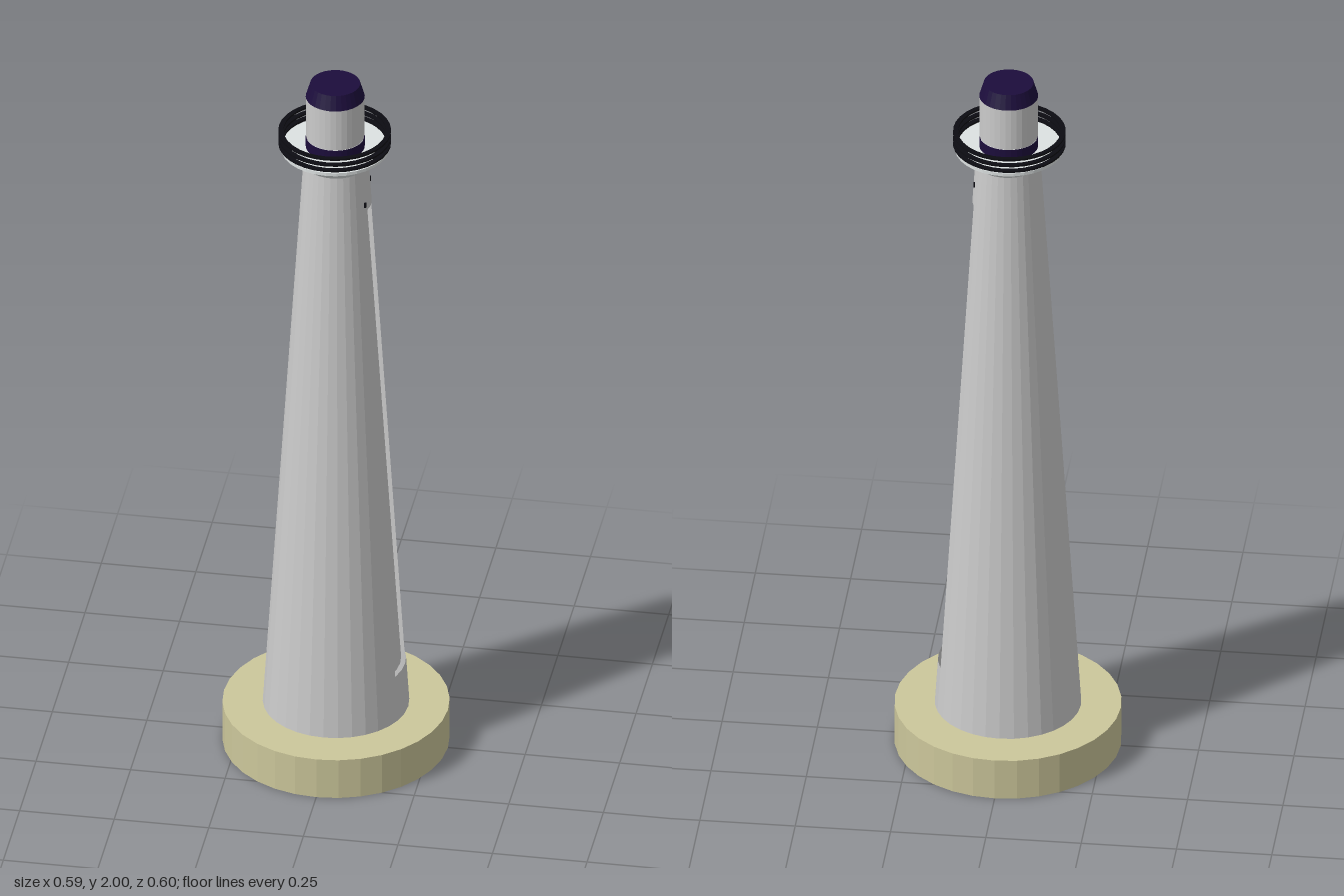
import * as THREE from 'three';

const SEG = 32;
const mat = (color) => new THREE.MeshStandardMaterial({ color, flatShading: true, side: THREE.DoubleSide });
const grey = mat(0xcccccc), sand = mat(0xccc79b), white = mat(0xdde2e2);
const purple = mat(0x1c0d3c), black = mat(0x0c0c12);

export function createModel() {
  const model = new THREE.Group();
  const add = (name, geometry, material, x = 0, y = 0, z = 0) => {
    const mesh = new THREE.Mesh(geometry, material);
    mesh.name = name;
    mesh.position.set(x, y, z);
    model.add(mesh);
    return mesh;
  };
  const lathe = (points) => new THREE.LatheGeometry(points.map(([r, y]) => new THREE.Vector2(r, y)), SEG);

  // Round foundation
  add('foundation', lathe([[0, 0], [1, 0], [1, 0.115], [0, 0.115]]), sand).scale.set(0.296, 1, 0.302);

  // Tapered tower shell, open along a tall slot on the +x side
  const Y0 = 0.115, Y1 = 1.765;
  const radiusAt = (y) => THREE.MathUtils.lerp(0.191, 0.085, (y - Y0) / (Y1 - Y0));
  const band = (name, y0, y1, start, sweep, inset = 0) => {
    const sides = Math.round(SEG * sweep / (Math.PI * 2));
    const g = new THREE.CylinderGeometry(radiusAt(y1) - inset, radiusAt(y0) - inset, y1 - y0, sides, 1, true, start, sweep);
    add(name, g, grey, 0, (y0 + y1) / 2, 0);
  };
  const slotBottom = 0.245, slotTop = 1.64, half = Math.PI / 8, side = Math.PI / 2;
  band('towerFoot', Y0, slotBottom, 0, Math.PI * 2);
  band('towerShaft', slotBottom, slotTop, side + half, Math.PI * 2 - 2 * half);
  band('towerNeck', slotTop, Y1, 0, Math.PI * 2);
  // Panel set back behind the slot
  band('recessedPanel', slotBottom, slotTop, side - half, 2 * half, 0.013);

  // Small fittings above the slot
  add('fitting', new THREE.BoxGeometry(0.006, 0.014, 0.005), black, 0.084, 1.70, -0.03);
  add('fitting', new THREE.BoxGeometry(0.006, 0.014, 0.005), black, 0.084, 1.66, 0.04);

  // Flared collar and gallery floor
  add('collar', lathe([[0.085, 1.76], [0.098, 1.777], [0.098, 1.80]]), white);
  add('galleryFloor', lathe([[0, 1.80], [0.141, 1.80], [0.141, 1.809], [0, 1.809]]), white, -0.003, 0, -0.002);

  // Three flat railing hoops
  for (const y of [1.815, 1.832, 1.85]) {
    add('railing', lathe([[0.134, y], [0.147, y], [0.147, y + 0.005], [0.134, y + 0.005], [0.134, y]]),
      black, -0.004, 0, -0.003);
  }

  // Lantern room: dark plinth, plain wall, bevelled roof
  add('lanternPlinth', lathe([[0.077, 1.809], [0.077, 1.84]]), purple, -0.002);
  add('lanternWall', lathe([[0.076, 1.84], [0.076, 1.96]]), grey, -0.002);
  add('lanternRoof', lathe([[0, 1.96], [0.077, 1.96], [0.065, 2.0], [0, 2.0]]), purple, -0.002);

  return model;
}
